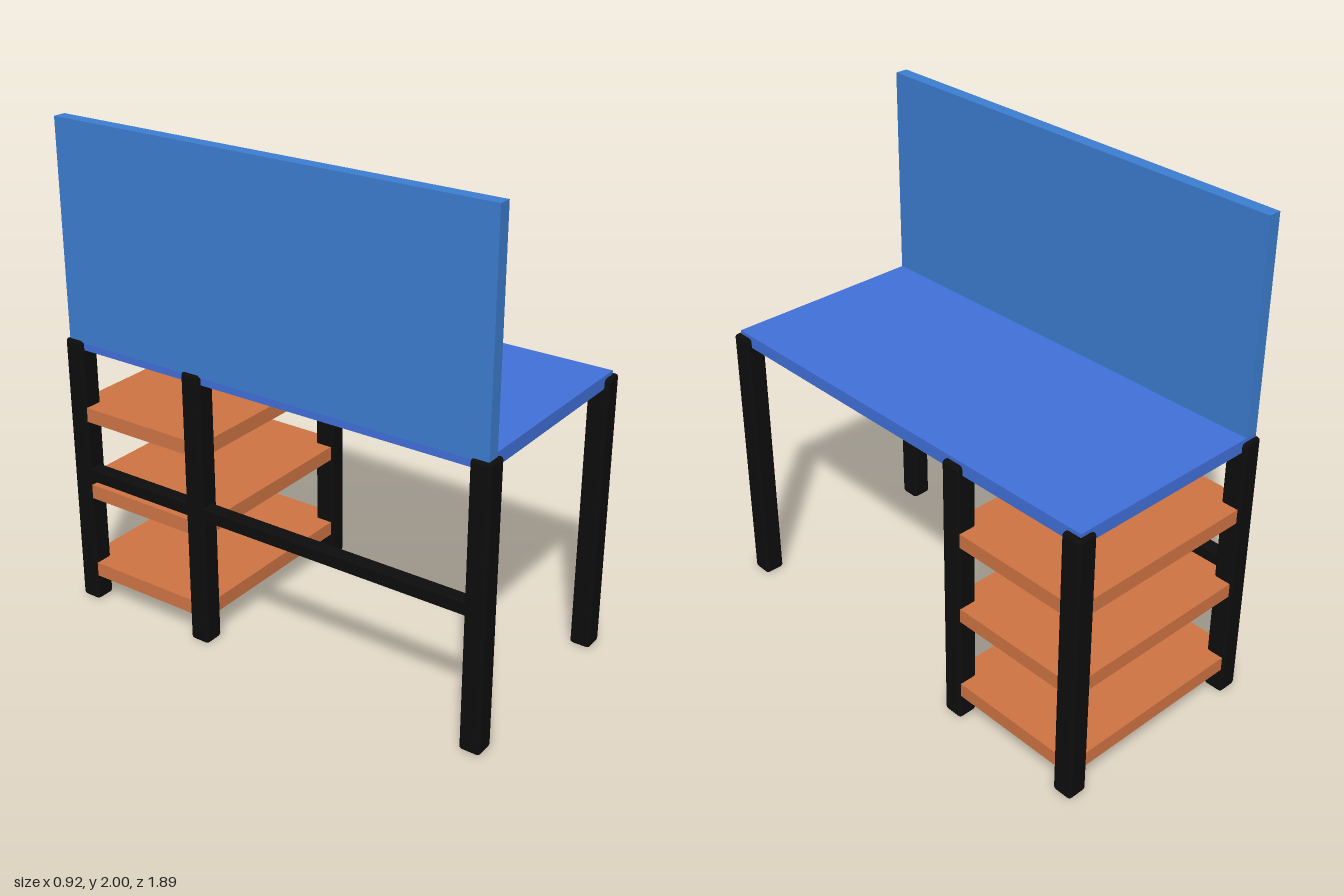
import * as THREE from 'three';
import { RoundedBoxGeometry } from 'three/addons/geometries/RoundedBoxGeometry.js';

const material = (color) => new THREE.MeshStandardMaterial({ color, flatShading: true });

export function createModel() {
  const workbench = new THREE.Group();
  workbench.name = 'workbench';
  const black = material(0x0d0d0d);
  const topBlue = material(0x4070d8);
  const panelBlue = material(0x3c7dd0);
  const orange = material(0xcf7443);

  // Box given by its limits on each axis; a bevel chamfers the edges
  function addBox(name, mat, [x0, x1], [y0, y1], [z0, z1], bevel = 0) {
    const size = [x1 - x0, y1 - y0, z1 - z0];
    const geometry = bevel
      ? new RoundedBoxGeometry(...size, 1, bevel)
      : new THREE.BoxGeometry(...size);
    const mesh = new THREE.Mesh(geometry, mat);
    mesh.name = name;
    mesh.position.set((x0 + x1) / 2, (y0 + y1) / 2, (z0 + z1) / 2);
    workbench.add(mesh);
    return mesh;
  }

  // Work surface and upright panel along its edge
  addBox('worktop', topBlue, [-0.445, 0.437], [1.1, 1.152], [-0.925, 0.928]);
  addBox('uprightPanel', panelBlue, [-0.448, -0.396], [1.13, 2], [-0.925, 0.93]);

  // Three pairs of chamfered legs, poking slightly out around the worktop
  const legHalf = 0.042;
  for (const x of [-0.417, 0.417]) {
    for (const z of [-0.899, -0.321, 0.903]) {
      addBox('leg', black, [x - legHalf, x + legHalf], [0, 1.137],
        [z - legHalf, z + legHalf], 0.012);
    }
  }

  // Long rail under the panel side
  addBox('sideRail', black, [-0.458, -0.402], [0.545, 0.6], [-0.9, 0.9], 0.006);

  // Shelves held between the four legs at one end
  for (const y of [0.11, 0.465, 0.8]) {
    addBox('shelf', orange, [-0.452, 0.452], [y, y + 0.06], [-0.932, -0.287]);
  }

  return workbench;
}
